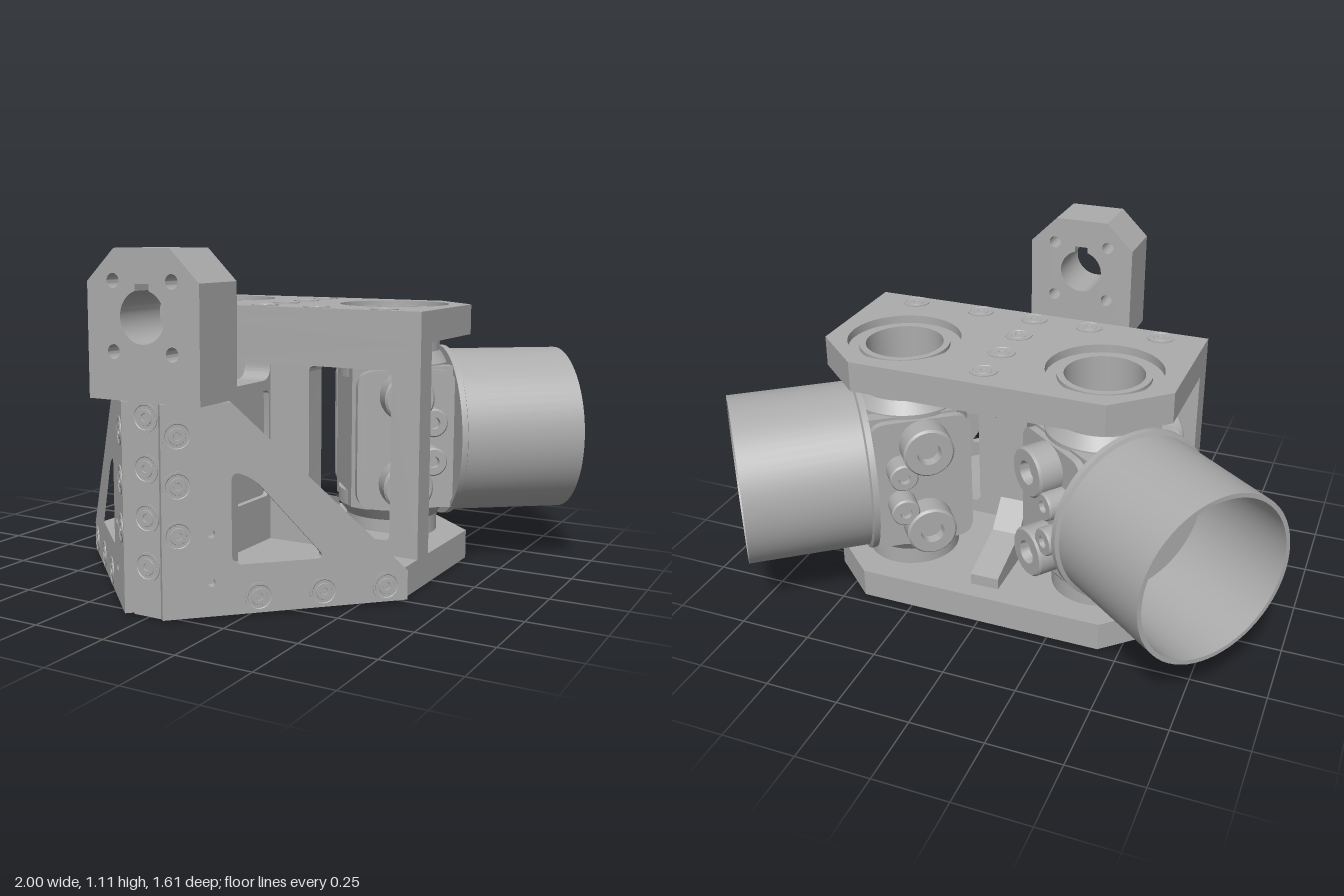
import * as THREE from 'three';
import { toCreasedNormals } from 'three/addons/utils/BufferGeometryUtils.js';

const metal = new THREE.MeshStandardMaterial({ color: 0xacacac });
metal.name = 'machined grey';

const mesh = (parent, name, geo, pos = [0, 0, 0]) => {
  const m = new THREE.Mesh(toCreasedNormals(geo, 0.5), metal);
  m.name = name;
  m.position.set(...pos);
  parent.add(m);
  return m;
};
const poly = (pts, holes = []) => {
  const s = new THREE.Shape(pts.map(p => new THREE.Vector2(...p)));
  s.holes = holes;
  return s;
};
const circle = (x, y, r) => new THREE.Path().absarc(x, y, r, 0, Math.PI * 2, false);
// closed outline with rounded corners
const rounded = (pts, r) => {
  const path = new THREE.Path(), n = pts.length;
  const v = pts.map(p => new THREE.Vector2(...p));
  v.forEach((c, i) => {
    const a = v[(i + n - 1) % n].clone().sub(c).setLength(r).add(c);
    const b = v[(i + 1) % n].clone().sub(c).setLength(r).add(c);
    if (i) path.lineTo(a.x, a.y); else path.moveTo(a.x, a.y);
    path.quadraticCurveTo(c.x, c.y, b.x, b.y);
  });
  path.closePath();
  return path;
};
const extrude = (shape, depth) =>
  new THREE.ExtrudeGeometry(shape, { depth, bevelEnabled: false, curveSegments: 24 });
// outline in (x, z), spanning y0..y1
const slab = (shape, y0, y1) => extrude(shape, y1 - y0).rotateX(Math.PI / 2).translate(0, y1, 0);
// outline in (z, y), centred on x
const web = (shape, w) => extrude(shape, w).rotateY(-Math.PI / 2).translate(w / 2, 0, 0);
const lathe = (pts, seg = 48) => new THREE.LatheGeometry(pts.map(p => new THREE.Vector2(...p)), seg);
const ring = (ro, ri, y0, y1) => lathe([[ri, y0], [ro, y0], [ro, y1], [ri, y1], [ri, y0]]);
const screwGeo = () => lathe([[0.046, -0.002], [0.046, 0.003], [0.038, 0.003], [0.036, 0.001],
  [0.026, 0.001], [0.025, 0.003], [0.012, 0.003], [0.011, 0.0005], [0, 0.0005]], 20);

const PX = 0.35, PZ = -0.22, CY = 0.455; // barrel pivot

function plates(g) {
  const top = [[-0.6, 0.13], [0.6, 0.13], [0.6, -0.31], [0.43, -0.465], [-0.43, -0.465], [-0.6, -0.31]];
  const bottom = [[-0.6, 0.23], [-0.05, 0.78], [0.05, 0.78], [0.6, 0.23], ...top.slice(2)];
  const bores = r => [circle(PX, PZ, r), circle(-PX, PZ, r)];
  const pockets = [-1, 1].map(s => rounded([[0.09 * s, 0.2], [0.47 * s, 0.2], [0.09 * s, 0.58]], 0.04));
  mesh(g, 'topPlateLower', slab(poly(top, bores(0.15)), 0.8, 0.875));
  mesh(g, 'topPlateRim', slab(poly(top, bores(0.19)), 0.875, 0.903));
  mesh(g, 'bottomPlateRim', slab(poly(bottom, [...bores(0.19), ...pockets]), 0, 0.03));
  mesh(g, 'bottomPlateMiddle', slab(poly(bottom, [...bores(0.15), ...pockets]), 0.03, 0.08));
  mesh(g, 'bottomPlateSkin', slab(poly(bottom, bores(0.15)), 0.08, 0.1));
  for (const s of [-1, 1]) {
    mesh(g, 'upperBearing', ring(0.152, 0.13, 0.79, 0.888), [s * PX, 0, PZ]);
    mesh(g, 'lowerBearing', ring(0.152, 0.13, 0.015, 0.11), [s * PX, 0, PZ]);
  }
  // plate screws, above and below
  const spots = [[0, -0.37], [0, -0.22], [0, -0.07], [0, 0.08], [0.2, 0.08], [-0.2, 0.08], [0.45, 0.08], [-0.45, 0.08]];
  for (const [x, z] of spots) {
    mesh(g, 'topScrew', screwGeo(), [x, 0.903, z]);
    mesh(g, 'bottomScrew', screwGeo().rotateX(Math.PI), [x, 0, z]);
  }
}

function frame(g) {
  // cross wall with two windows
  const windows = [-1, 1].map(s => rounded([[0.2 * s, 0.15], [0.5 * s, 0.15], [0.5 * s, 0.71], [0.2 * s, 0.71]], 0.02));
  mesh(g, 'crossWall', extrude(poly([[-0.6, 0.1], [0.6, 0.1], [0.6, 0.8], [-0.6, 0.8]], windows), 0.09), [0, 0, 0.04]);
  // front rib with a recess on each side
  const rib = new THREE.Shape();
  rib.moveTo(0.13, 0.1);
  rib.lineTo(0.6, 0.1);
  rib.lineTo(0.6, 0.655);
  rib.lineTo(0.18, 0.655);
  rib.quadraticCurveTo(0.13, 0.655, 0.13, 0.71);
  rib.closePath();
  rib.holes.push(rounded([[0.14, 0.255], [0.44, 0.255], [0.44, 0.62], [0.14, 0.62]], 0.02));
  mesh(g, 'frontRib', web(rib, 0.1));
  mesh(g, 'frontRibWeb', web(poly([[0.135, 0.24], [0.45, 0.24], [0.45, 0.63], [0.135, 0.63]]), 0.06));
  // back rib, cut away between the barrels
  mesh(g, 'backRib', web(poly([[0.04, 0.1], [-0.4, 0.1], [-0.4, 0.14], [-0.2, 0.2], [-0.12, 0.29],
    [-0.12, 0.61], [-0.2, 0.7], [-0.4, 0.76], [-0.4, 0.8], [0.04, 0.8]]), 0.1));
  // front column behind the gussets
  mesh(g, 'frontColumn', slab(poly([[-0.2, 0.585], [0.2, 0.585], [0.2, 0.63], [0.05, 0.78], [-0.05, 0.78],
    [-0.2, 0.63]]), 0.1, 0.655));
  for (const y of [0.155, 0.305, 0.455, 0.61])
    mesh(g, 'columnScrew', screwGeo().rotateX(Math.PI / 2), [0, y, 0.78]);
}

function tower(g) {
  const key = new THREE.Path();
  key.absarc(0, 0.905, 0.08, Math.PI / 2 + 0.32, Math.PI * 2.5 - 0.32, false);
  key.lineTo(0.025, 1.002);
  key.lineTo(-0.025, 1.002);
  key.closePath();
  const holes = [key];
  for (const x of [-0.105, 0.105]) for (const y of [0.8, 1.01]) holes.push(circle(x, y, 0.022));
  mesh(g, 'towerBlock', extrude(poly([[-0.2, 0.655], [0.2, 0.655], [0.2, 1.007], [0.1, 1.105],
    [-0.1, 1.105], [-0.2, 1.007]], holes), 0.2), [0, 0, 0.585]);
}

function gusset(g, s) {
  const side = new THREE.Group();
  side.name = s > 0 ? 'leftGusset' : 'rightGusset';
  side.position.set(0.07 * s, 0, 0.802);
  side.rotation.y = s * Math.PI / 4;
  const u = x => s * (x - 0.07) * Math.SQRT2;
  const window = rounded([[u(0.22), 0.16], [u(0.43), 0.16], [u(0.27), 0.42], [u(0.22), 0.45]], 0.035);
  const pins = [0.11, 0.26].map(y => circle(u(0.175), y, 0.013));
  const outline = poly([[u(0.07), 0.005], [u(0.62), 0.005], [u(0.62), 0.1], [u(0.22), 0.655], [u(0.07), 0.655]],
    [window, ...pins]);
  mesh(side, 'gussetPlate', extrude(outline, 0.03), [0, 0, -0.03]);
  const spots = [[0.105, 0.26], [0.105, 0.41], [0.105, 0.56], [0.28, 0.055], [0.425, 0.055], [0.57, 0.055]];
  for (const [x, y] of spots)
    mesh(side, 'gussetScrew', screwGeo().rotateX(Math.PI / 2), [u(x), y, 0]);
  g.add(side);
}

// swivelling barrel: local z is the barrel axis, x points to its sides
function barrel(g, s) {
  const b = new THREE.Group();
  b.name = s > 0 ? 'leftBarrel' : 'rightBarrel';
  b.position.set(s * PX, CY, PZ);
  b.rotation.y = Math.atan2(0.79 * s, -0.613);
  // thin shell with flange and a floor with a bore
  mesh(b, 'barrelShell', lathe([[0.13, 0.165], [0.3, 0.165], [0.3, 0.185], [0.287, 0.19], [0.287, 0.597],
    [0.272, 0.597], [0.272, 0.195], [0.16, 0.195], [0.16, 0.21], [0.13, 0.21], [0.13, 0.165]], 64).rotateX(Math.PI / 2));
  // body open toward the barrel and bored from top to bottom
  const body = new THREE.Shape();
  body.moveTo(0.175, 0.17);
  body.lineTo(0.13, 0.17);
  body.lineTo(0.13, 0);
  body.absarc(0, 0, 0.13, 0, Math.PI, true);
  body.lineTo(-0.13, 0.17);
  body.lineTo(-0.175, 0.17);
  body.lineTo(-0.175, -0.13);
  body.lineTo(-0.13, -0.175);
  body.lineTo(0.13, -0.175);
  body.lineTo(0.175, -0.13);
  body.closePath();
  mesh(b, 'body', slab(body, -0.245, 0.245));
  for (const k of [-1, 1]) {
    // trunnion collar with a sloped shoulder
    const collar = lathe([[0.13, 0.2], [0.19, 0.2], [0.19, 0.25], [0.16, 0.29], [0.16, 0.35], [0.13, 0.35], [0.13, 0.2]]);
    if (k < 0) collar.rotateX(Math.PI);
    mesh(b, 'trunnion', collar);
    // side panel with two large and two small bosses
    const turn = geo => geo.rotateZ(-k * Math.PI / 2);
    const panel = new THREE.Shape(rounded([[-0.17, -0.235], [0.17, -0.235], [0.17, 0.235], [-0.17, 0.235]], 0.06).getPoints(8));
    mesh(b, 'sidePanel', web(panel, 0.03), [k * 0.185, 0, 0]);
    for (const j of [-1, 1]) {
      mesh(b, 'largeBoss', turn(lathe([[0.085, 0.19], [0.085, 0.275], [0.078, 0.283], [0.04, 0.283],
        [0.036, 0.25], [0, 0.25]], 32)), [0, j * 0.15, -0.01]);
      mesh(b, 'smallBoss', turn(lathe([[0.048, 0.19], [0.048, 0.27], [0.043, 0.276], [0.02, 0.276],
        [0.018, 0.26], [0, 0.26]], 24)), [0, j * 0.066, 0.075]);
    }
    mesh(b, 'innerPad', new THREE.BoxGeometry(0.03, 0.3, 0.1), [k * 0.125, 0, 0]);
  }
  g.add(b);
}

export function createModel() {
  const g = new THREE.Group();
  g.name = 'twinBarrelBracket';
  plates(g);
  frame(g);
  tower(g);
  for (const s of [-1, 1]) {
    gusset(g, s);
    barrel(g, s);
  }
  return g;
}
